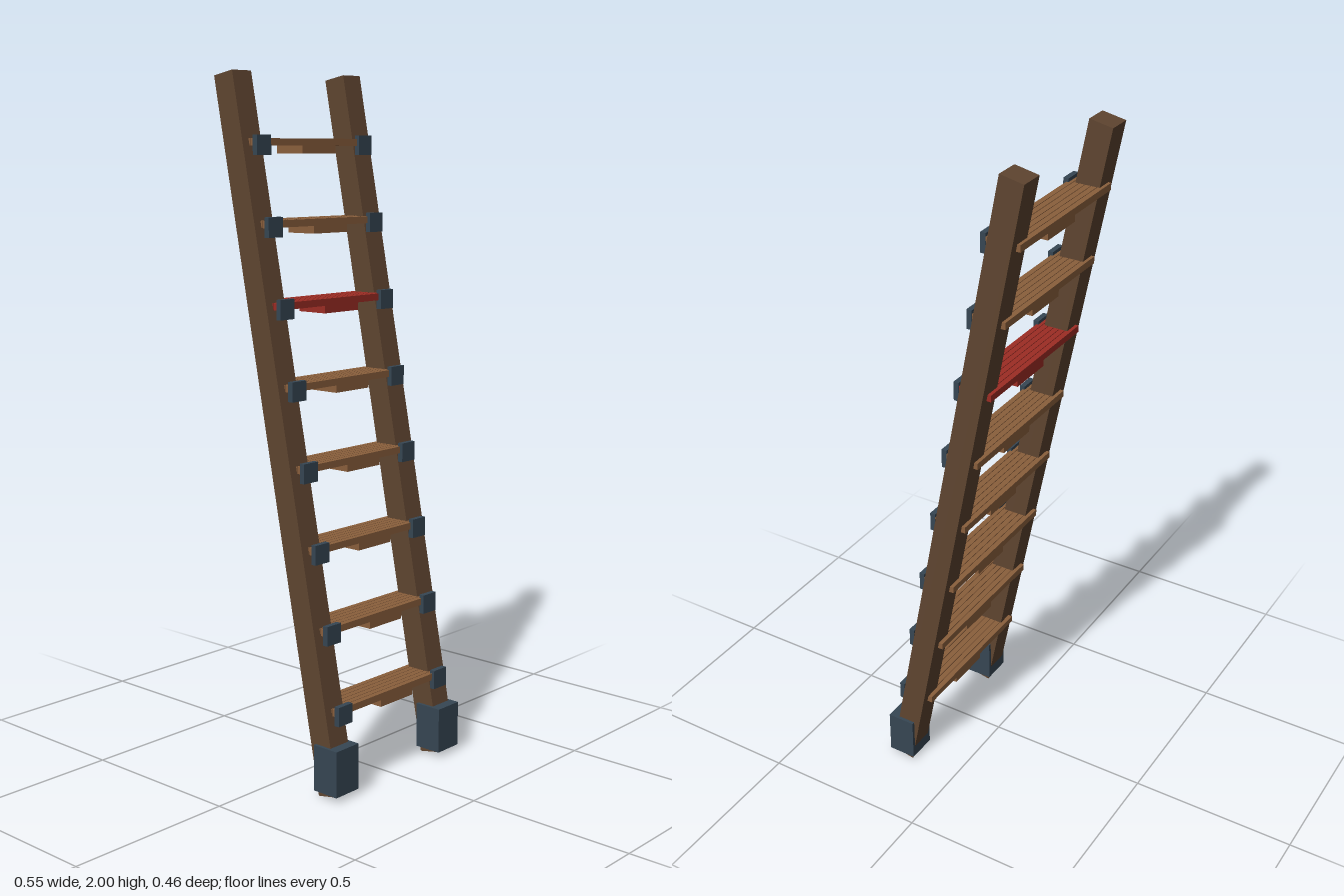
import * as THREE from 'three';

const paint = (name, color) => {
  const m = new THREE.MeshStandardMaterial({ color });
  m.name = name;
  return m;
};

export function createModel() {
  const darkWood = paint('dark wood', 0x5f4530);
  const lightWood = paint('light wood', 0x8a5f3c);
  const red = paint('red paint', 0x9c2c24);
  const metal = paint('blue grey metal', 0x364653);

  const ladder = new THREE.Group();
  ladder.name = 'ladder';
  const box = (parent, name, material, size, position) => {
    const mesh = new THREE.Mesh(new THREE.BoxGeometry(...size), material);
    mesh.name = name;
    mesh.position.set(...position);
    parent.add(mesh);
    return mesh;
  };

  // Leaning side rails standing in upright shoes
  const tilt = 0.192;
  for (const [side, s] of [['left', 1], ['right', -1]]) {
    const rail = box(ladder, side + 'Rail', darkWood, [0.073, 2.0235, 0.072], [s * 0.2265, 1, -0.002]);
    rail.rotation.x = -tilt;
    box(ladder, side + 'Foot', metal, [0.092, 0.134, 0.085], [s * 0.2265, 0.083, 0.188]);
  }

  // Slatted treads, each with an off-centre block below and a plate on each rail
  const slats = 6, pitch = 0.0181, slatDepth = 0.0161;
  for (let i = 0; i < 8; i++) {
    const tread = new THREE.Group();
    tread.name = 'tread' + (i + 1);
    tread.position.set(0, 0.236 + i * 0.2232, 0.147 - i * 0.0429);
    ladder.add(tread);
    const wood = i === 5 ? red : lightWood;
    for (let j = 0; j < slats; j++) {
      box(tread, 'slat', wood, [0.476, 0.02, slatDepth], [0, 0.008, (j - (slats - 1) / 2) * pitch]);
    }
    box(tread, 'underBlock', wood, [0.14, 0.023, 0.1], [0.025, -0.0125, 0]);
    for (const s of [1, -1]) {
      box(tread, 'bracket', metal, [0.056, 0.056, 0.016], [s * 0.211, 0, 0.0545]);
    }
  }
  return ladder;
}
